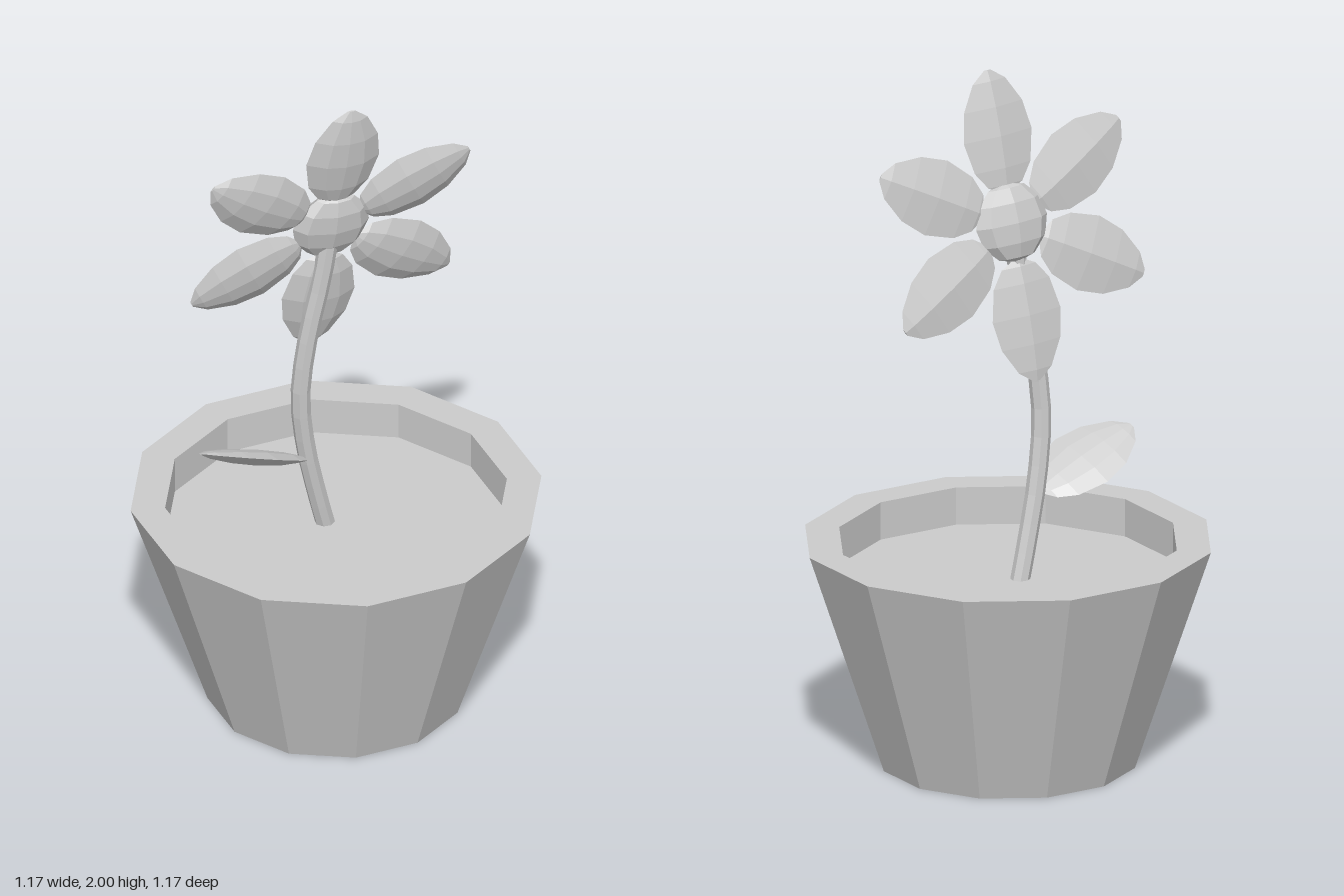
import * as THREE from 'three';

const material = new THREE.MeshStandardMaterial({ color: 0xcccccc, flatShading: true, side: THREE.DoubleSide });
const v3 = (x, y, z) => new THREE.Vector3(x, y, z);

function addMesh(parent, name, geometry) {
  const mesh = new THREE.Mesh(geometry, material);
  mesh.name = name;
  parent.add(mesh);
  return mesh;
}

// Closed low-poly blade growing along +y, bulging towards +z with a shallow ridge behind.
function bladeGeometry(length, halfWidth, front, back) {
  // [position along the blade, relative width]
  const profile = [[0, 0.12], [0.06, 0.5], [0.2, 0.82], [0.46, 1], [0.7, 0.86], [0.91, 0.48], [1, 0.1]];
  // cross-section, counter-clockwise seen from the tip side
  const section = [[-1, 0], [-0.5, front * 0.8], [0, front], [0.5, front * 0.8], [1, 0], [0, -back]];
  const n = section.length;
  const positions = [];
  const index = [];
  for (const [t, w] of profile) {
    for (const [x, z] of section) positions.push(x * w * halfWidth, t * length, z * w);
  }
  for (let i = 0; i < profile.length - 1; i++) {
    for (let j = 0; j < n; j++) {
      const a = i * n + j, b = i * n + (j + 1) % n;
      index.push(a, b, a + n, b, b + n, a + n);
    }
  }
  // end caps
  const last = (profile.length - 1) * n;
  for (let j = 1; j < n - 1; j++) {
    index.push(0, j + 1, j, last, last + j, last + j + 1);
  }
  const geometry = new THREE.BufferGeometry();
  geometry.setAttribute('position', new THREE.Float32BufferAttribute(positions, 3));
  geometry.setIndex(index);
  geometry.computeVertexNormals();
  return geometry;
}

// Turns an object so its local x and y axes follow the given directions.
function orient(object, xAxis, yAxis) {
  const y = yAxis.clone().normalize();
  const z = xAxis.clone().cross(y).normalize();
  const x = y.clone().cross(z);
  object.quaternion.setFromRotationMatrix(new THREE.Matrix4().makeBasis(x, y, z));
}

export function createModel() {
  const model = new THREE.Group();
  model.name = 'pottedFlower';

  // Twelve-sided pot with a thick rim
  const potProfile = [[0, 0], [0.365, 0], [0.583, 0.65], [0.485, 0.65], [0.485, 0.54]];
  addMesh(model, 'pot', new THREE.LatheGeometry(potProfile.map(([r, y]) => new THREE.Vector2(r, y)), 12));

  // Soil
  const soil = addMesh(model, 'soil', new THREE.CircleGeometry(0.485, 12, Math.PI / 2).rotateX(-Math.PI / 2));
  soil.position.y = 0.54;

  // Curved stem
  const stemPath = new THREE.CatmullRomCurve3([
    v3(-0.005, 0.53, -0.04), v3(-0.04, 0.66, -0.04), v3(-0.077, 0.82, -0.04), v3(-0.1, 1.0, -0.035),
    v3(-0.085, 1.2, -0.02), v3(-0.05, 1.4, 0), v3(-0.035, 1.52, 0.01),
  ]);
  addMesh(model, 'stem', new THREE.TubeGeometry(stemPath, 12, 0.028, 8));

  // Leaf
  const leaf = addMesh(model, 'leaf', bladeGeometry(0.355, 0.108, 0.02, 0.025));
  leaf.position.set(-0.085, 0.78, -0.04);
  orient(leaf, v3(0, -0.37, -0.93), v3(-0.325, 0.125, -0.05));

  // Flower head, turned to one side and tipped forward
  const flower = new THREE.Group();
  flower.name = 'flowerHead';
  flower.position.set(-0.03, 1.565, 0.012);
  orient(flower, v3(0.95, -0.064, 0.295), v3(0, 0.977, 0.213));
  model.add(flower);

  const centre = addMesh(flower, 'flowerCentre', new THREE.SphereGeometry(0.115, 8, 6));
  centre.scale.z = 0.38;
  centre.position.y = 0.01;

  // Six petals
  const petal = bladeGeometry(0.35, 0.11, 0.033, 0.02).translate(0, 0.097, 0);
  for (let i = 0; i < 6; i++) {
    addMesh(flower, 'petal' + (i + 1), petal).rotation.z = i * Math.PI / 3;
  }
  return model;
}
